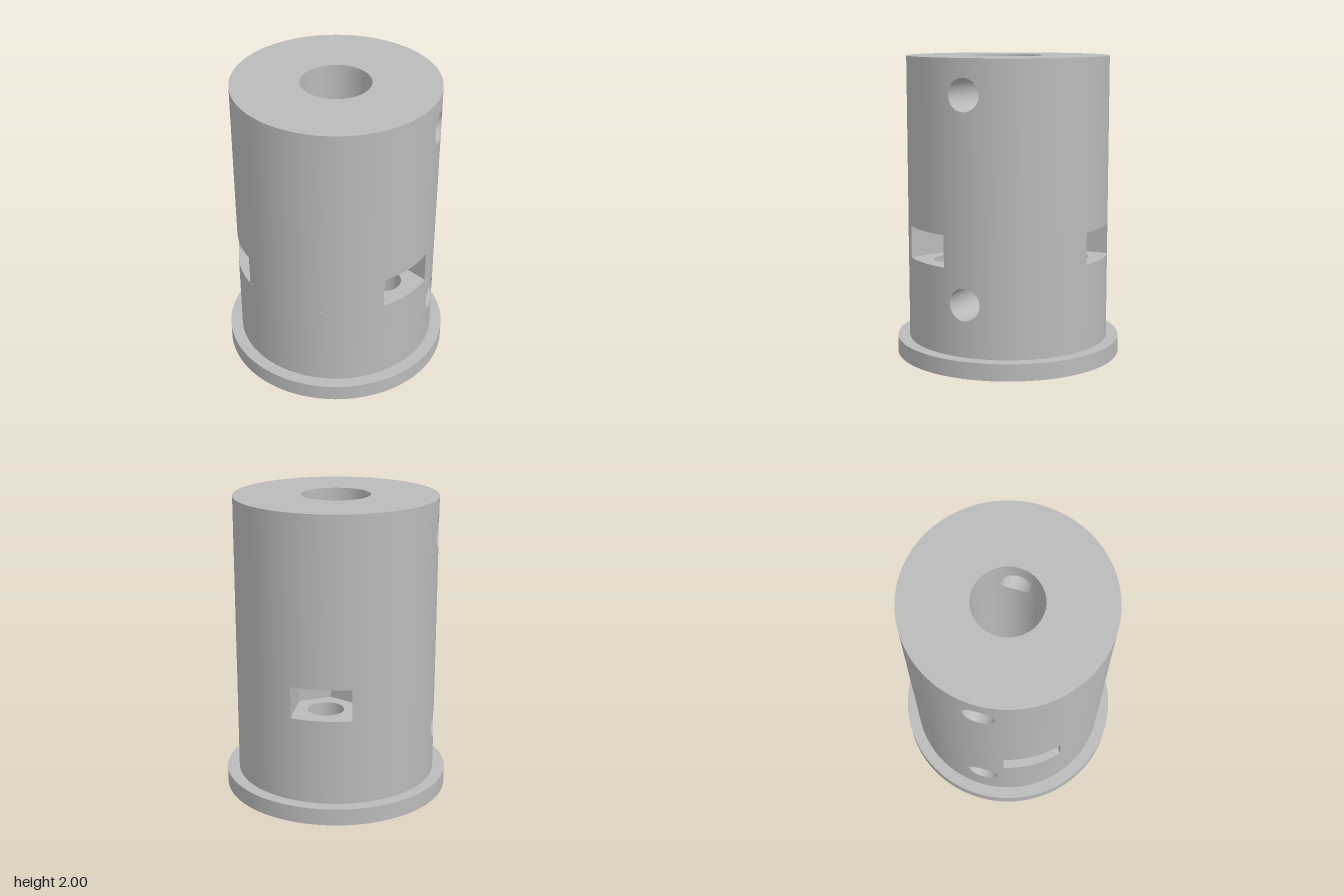
import * as THREE from 'three';

const PI = Math.PI;
const R = 0.672, BORE = 0.228, FLANGE = 0.753;      // radii
const FLANGE_TOP = 0.112, TOP = 2;
const PIN = 0.105, PIN_YS = [0.455, 1.775];         // cross holes along x
const SLOT_Y0 = 0.68, SLOT_Y1 = 0.89, SLOT_HALF = 0.198;
const BOLT = 0.118, BOLT_R = 0.452, BOLT_END = 1.12; // bolt holes
const SLOT_ANGLES = [PI / 6, 5 * PI / 6, 3 * PI / 2];
const SLOT_ARC = Math.asin(SLOT_HALF / R);

const polar = (r, a, y) => new THREE.Vector3(r * Math.cos(a), y, r * Math.sin(a));

export function createModel() {
  const model = new THREE.Group();
  model.name = 'flangedSleeve';
  const grey = new THREE.MeshStandardMaterial({ color: 0xbababa });

  function add(parent, name, geometry) {
    const mesh = new THREE.Mesh(geometry, grey);
    mesh.name = name;
    parent.add(mesh);
    return mesh;
  }

  // Ruled surface between two curves, wound to face its normals
  function strip(parent, name, curveA, curveB, n, normalAt) {
    const pos = [], nor = [];
    const tri = (pts) => {
      const face = pts[1].p.clone().sub(pts[0].p).cross(pts[2].p.clone().sub(pts[0].p));
      if (face.lengthSq() < 1e-16) return;
      if (face.dot(pts[0].n) < 0) pts.reverse();
      for (const q of pts) { pos.push(...q.p.toArray()); nor.push(...q.n.toArray()); }
    };
    const corner = (curve, t) => {
      const p = curve(t);
      return { p, n: normalAt(p, t) };
    };
    for (let i = 0; i < n; i++) {
      const s = i / n, t = (i + 1) / n;
      const a = corner(curveA, s), b = corner(curveA, t), c = corner(curveB, t), d = corner(curveB, s);
      tri([a, b, c]);
      tri([a, c, d]);
    }
    const g = new THREE.BufferGeometry();
    g.setAttribute('position', new THREE.Float32BufferAttribute(pos, 3));
    g.setAttribute('normal', new THREE.Float32BufferAttribute(nor, 3));
    return add(parent, name, g);
  }

  // Upright cylindrical wall over an arc; dir is 1 for outward, -1 for inward
  function wall(parent, name, r, y0, y1, dir, a0 = 0, a1 = 2 * PI, cx = 0) {
    const at = (y) => (t) => polar(r, a0 + (a1 - a0) * t, y).add(new THREE.Vector3(cx, 0, 0));
    const n = Math.max(4, Math.ceil((a1 - a0) / (2 * PI) * 72));
    strip(parent, name, at(y0), at(y1), n,
      (p) => new THREE.Vector3(p.x - cx, 0, p.z).multiplyScalar(dir).normalize());
  }

  // Cylindrical wall pierced on both sides by a cross hole at height yc
  function piercedWall(name, r, y0, y1, yc, dir) {
    const w = Math.asin(PIN / r);
    const radial = (p) => new THREE.Vector3(p.x, 0, p.z).multiplyScalar(dir).normalize();
    for (const side of [0, PI]) {
      wall(model, name, r, y0, y1, dir, side + w, side + PI - w);
      const angle = (t) => side - Math.asin(PIN * Math.cos(PI * t) / r);
      const rim = (s) => (t) => polar(r, angle(t), yc + s * PIN * Math.sin(PI * t));
      const edge = (y) => (t) => polar(r, angle(t), y);
      strip(model, name, edge(y0), rim(-1), 24, radial);
      strip(model, name, rim(1), edge(y1), 24, radial);
    }
  }

  // Flat horizontal face
  function cap(parent, name, shape, y, up) {
    const g = new THREE.ShapeGeometry(shape, 48);
    g.rotateX(up ? -PI / 2 : PI / 2).translate(0, y, 0);
    add(parent, name, g);
  }
  const disc = (r, x = 0, y = 0) => new THREE.Shape().absarc(x, y, r, 0, 2 * PI, false);
  function ring(outer, inner) {
    const s = disc(outer);
    s.holes.push(disc(inner));
    return s;
  }

  // Flange with bolt holes in its underside
  const base = ring(FLANGE, BORE);
  for (const a of SLOT_ANGLES) base.holes.push(disc(BOLT, BOLT_R * Math.cos(a), BOLT_R * Math.sin(a)));
  cap(model, 'flangeUnderside', base, 0, false);
  wall(model, 'flangeRim', FLANGE, 0, FLANGE_TOP, 1);
  cap(model, 'flangeTop', ring(FLANGE, R), FLANGE_TOP, true);

  // Body outside, in three bands
  piercedWall('bodyLower', R, FLANGE_TOP, SLOT_Y0, PIN_YS[0], 1);
  SLOT_ANGLES.forEach((a) => wall(model, 'bodyBetweenSlots', R, SLOT_Y0, SLOT_Y1, 1,
    a + SLOT_ARC, a + 2 * PI / 3 - SLOT_ARC));
  piercedWall('bodyUpper', R, SLOT_Y1, TOP, PIN_YS[1], 1);
  cap(model, 'bodyTop', ring(R, BORE), TOP, true);

  // Central bore
  piercedWall('boreLower', BORE, 0, 1, PIN_YS[0], -1);
  piercedWall('boreUpper', BORE, 1, TOP, PIN_YS[1], -1);

  // Cross hole tunnels
  for (const y of PIN_YS) for (const side of [-1, 1]) {
    const end = (r) => (t) => {
      const z = PIN * Math.cos(2 * PI * t);
      return new THREE.Vector3(side * Math.sqrt(r * r - z * z), y + PIN * Math.sin(2 * PI * t), z);
    };
    strip(model, 'crossHole', end(BORE), end(R), 48,
      (p, t) => new THREE.Vector3(0, -Math.sin(2 * PI * t), -Math.cos(2 * PI * t)));
  }

  // Hexagonal nut slots, each with a bolt hole below and a blind one above
  const mouth = R * Math.cos(SLOT_ARC);
  const shoulder = BOLT_R - SLOT_HALF / Math.sqrt(3);
  const tip = Math.max(BORE + 0.003, BOLT_R - 2 * SLOT_HALF / Math.sqrt(3));
  const outline = [[mouth, -SLOT_HALF], [shoulder, -SLOT_HALF], [tip, 0], [shoulder, SLOT_HALF], [mouth, SLOT_HALF]];
  const slotShape = new THREE.Shape();
  slotShape.absarc(0, 0, R, -SLOT_ARC, SLOT_ARC, false);
  outline.slice(1, 4).reverse().forEach(([x, y]) => slotShape.lineTo(x, y));
  slotShape.closePath();
  slotShape.holes.push(disc(BOLT, BOLT_R, 0));

  for (const a of SLOT_ANGLES) {
    const slot = new THREE.Group();
    slot.name = 'nutSlot';
    slot.rotation.y = -a;
    model.add(slot);
    cap(slot, 'slotFloor', slotShape, SLOT_Y0, true);
    cap(slot, 'slotCeiling', slotShape, SLOT_Y1, false);
    for (let i = 0; i < 4; i++) {
      const [x0, z0] = outline[i], [x1, z1] = outline[i + 1];
      const n = new THREE.Vector3(z1 - z0, 0, x0 - x1).normalize();
      const edge = (y) => (t) => new THREE.Vector3(x0 + (x1 - x0) * t, y, z0 + (z1 - z0) * t);
      strip(slot, 'slotWall', edge(SLOT_Y0), edge(SLOT_Y1), 1, () => n);
    }
    wall(slot, 'boltHole', BOLT, 0, SLOT_Y0, -1, 0, 2 * PI, BOLT_R);
    wall(slot, 'boltHoleUpper', BOLT, SLOT_Y1, BOLT_END, -1, 0, 2 * PI, BOLT_R);
    cap(slot, 'boltHoleEnd', disc(BOLT, BOLT_R, 0), BOLT_END, false);
  }
  return model;
}
